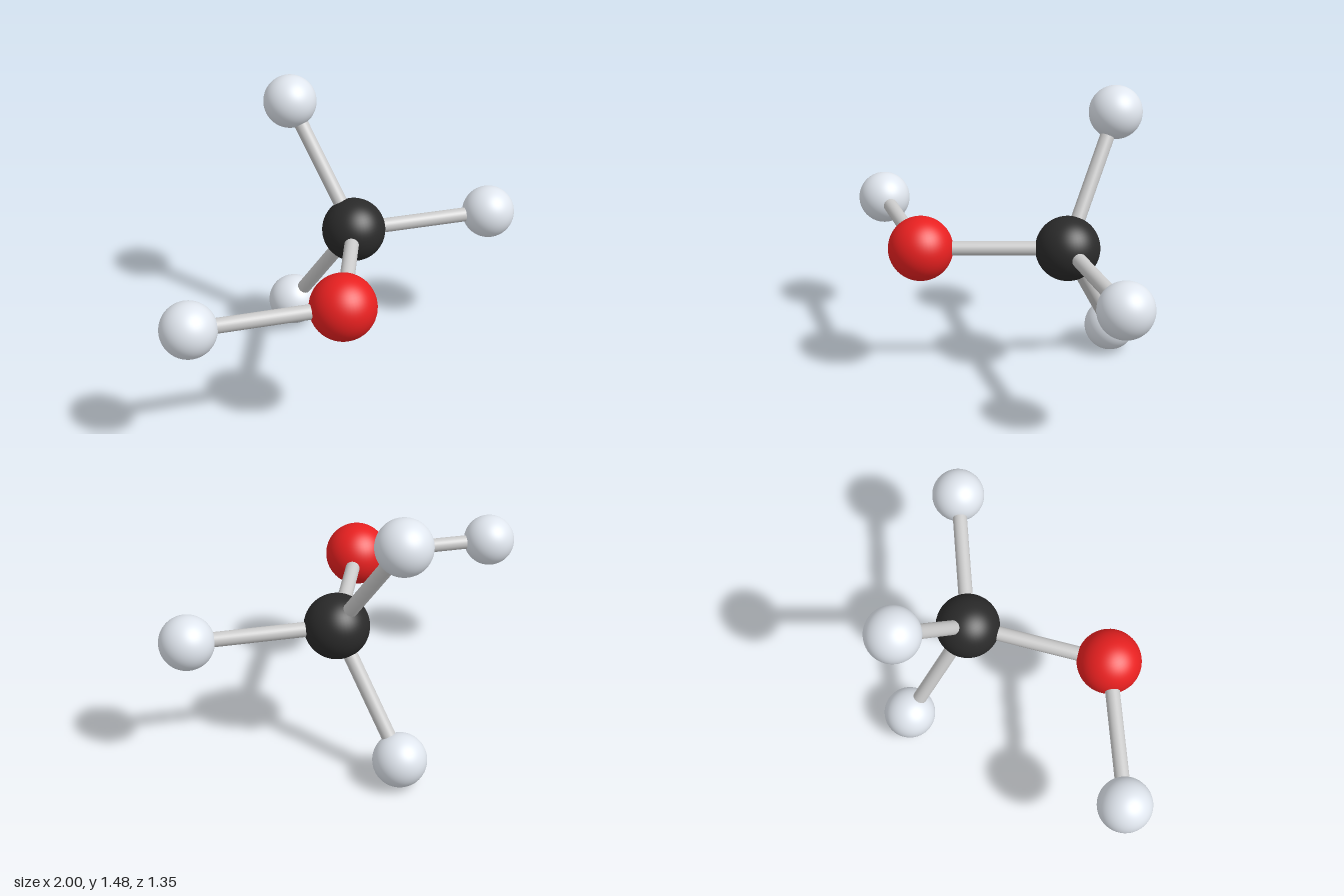
import * as THREE from 'three';

export function createModel() {
  const model = new THREE.Group();
  const paint = (color) => new THREE.MeshStandardMaterial({ color });
  const dark = paint(0x2a2a2a), red = paint(0xe82020), pale = paint(0xe0e6ee), grey = paint(0xcccccc);

  // Large and small balls: name, position, radius, material
  const balls = {
    carbonBall: [[0.123, 0.74, -0.186], 0.164, dark],
    oxygenBall: [[-0.123, 0.74, 0.51], 0.164, red],
    hydrogenBallLeft: [[0.863, 0.74, -0.186], 0.137, pale],
    hydrogenBallTop: [[-0.123, 1.343, -0.534], 0.137, pale],
    hydrogenBallBottom: [[-0.123, 0.137, -0.534], 0.137, pale],
    hydrogenBallRight: [[-0.863, 0.74, 0.51], 0.137, pale],
  };
  for (const [name, [position, radius, material]] of Object.entries(balls)) {
    const ball = new THREE.Mesh(new THREE.SphereGeometry(radius, 48, 32), material);
    ball.name = name;
    ball.position.set(...position);
    model.add(ball);
  }

  // Rods run between ball centres
  const addRod = (name, from, to) => {
    const a = new THREE.Vector3(...balls[from][0]);
    const b = new THREE.Vector3(...balls[to][0]);
    const axis = b.clone().sub(a);
    const rod = new THREE.Mesh(new THREE.CylinderGeometry(0.037, 0.037, axis.length(), 32), grey);
    rod.name = name;
    rod.position.copy(a).add(b).multiplyScalar(0.5);
    rod.quaternion.setFromUnitVectors(new THREE.Vector3(0, 1, 0), axis.normalize());
    model.add(rod);
  };
  addRod('centreRod', 'carbonBall', 'oxygenBall');
  addRod('rightRod', 'oxygenBall', 'hydrogenBallRight');
  for (const side of ['Left', 'Top', 'Bottom']) {
    addRod(side.toLowerCase() + 'Rod', 'carbonBall', 'hydrogenBall' + side);
  }
  return model;
}
